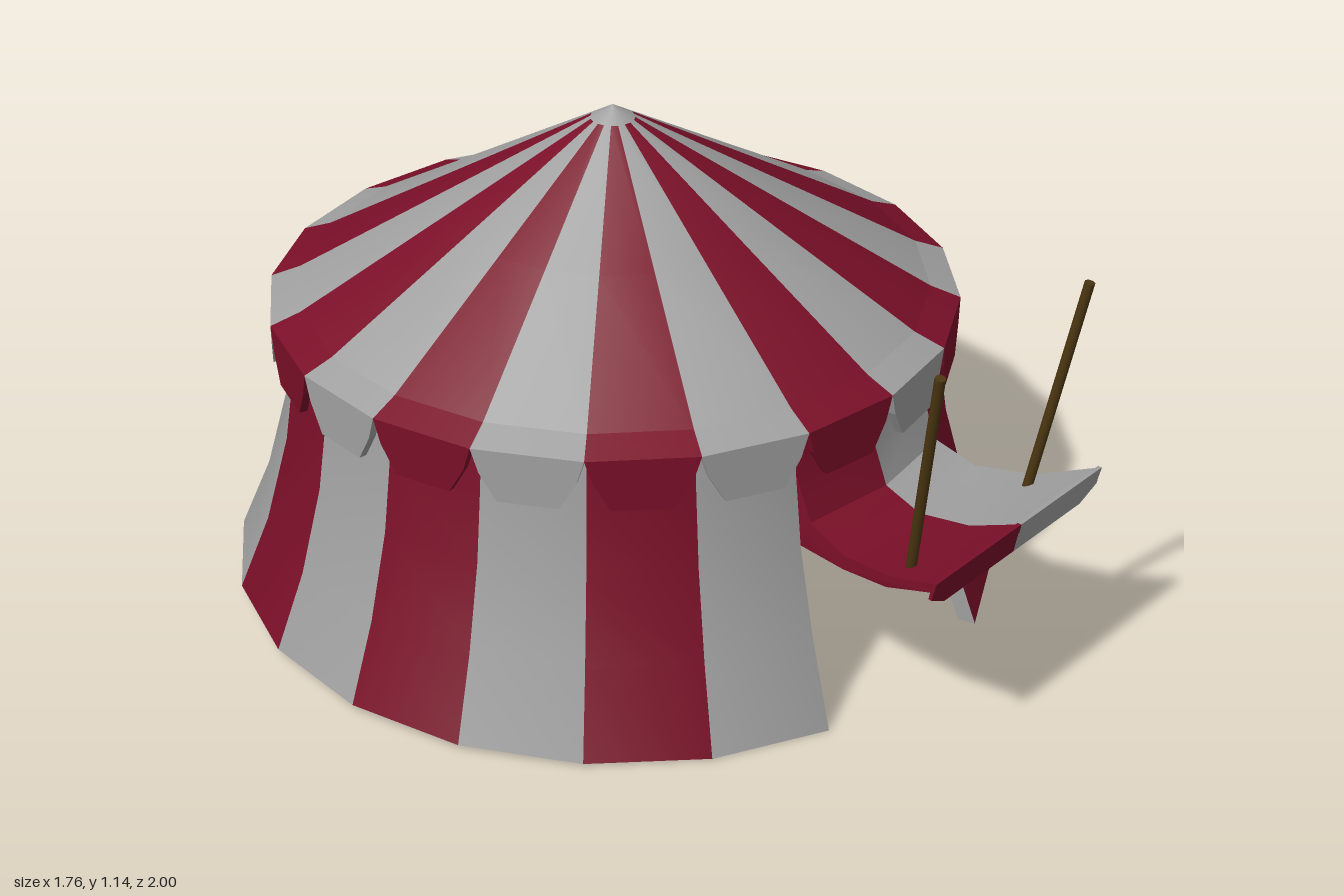
import * as THREE from 'three';
import { toCreasedNormals } from 'three/addons/utils/BufferGeometryUtils.js';

const SIDES = 20, STEP = (Math.PI * 2) / SIDES;

export function createModel() {
  const mat = (name, color) => {
    const m = new THREE.MeshStandardMaterial({ color, side: THREE.DoubleSide });
    m.name = name;
    return m;
  };
  const red = mat('crimson canvas', 0x7a0f28);
  const white = mat('pale canvas', 0xa0a0a0);
  const wood = mat('dark wood', 0x4a3510);
  const stripes = [white, red];

  const model = new THREE.Group();
  const tent = new THREE.Group();
  tent.name = 'tent';
  tent.position.z = -0.12;
  model.add(tent);

  const add = (parent, name, geometry, material) => {
    const mesh = new THREE.Mesh(geometry, material);
    mesh.name = name;
    parent.add(mesh);
    return mesh;
  };

  // lathe of flat-sided segments, one material group per segment
  const ring = (points, first = 0, count = SIDES) => {
    const g = new THREE.LatheGeometry(points.map(p => new THREE.Vector2(...p)), count, first * STEP, count * STEP);
    const n = 6 * (points.length - 1);
    for (let i = 0; i < count; i++) g.addGroup(i * n, n, (i + first) % 2);
    return g;
  };

  // the hem rises slightly toward the back
  const slopeHem = g => {
    const p = g.attributes.position;
    for (let i = 0; i < p.count; i++) {
      if (p.getY(i) < 0.01) p.setY(i, Math.max(0, 0.0173 * (1 - p.getZ(i) / 0.837)));
    }
    return g;
  };

  // flared wall, open over the two front segments
  const outer = [[0.88, 0], [0.81, 0.2], [0.757, 0.4], [0.733, 0.57], [0.72, 0.69]];
  const inner = outer.map(([r, y]) => [r - 0.04, y]).reverse();
  add(tent, 'wall', slopeHem(ring(outer, 1, SIDES - 2)), stripes);
  add(tent, 'wallLining', slopeHem(ring(inner, 1, SIDES - 2)), [white, white]);
  add(tent, 'wallHem', slopeHem(ring([[0.84, 0], [0.88, 0]], 1, SIDES - 2)), [white, white]);
  for (const s of [-1, 1]) {
    const shape = new THREE.Shape([...outer, ...inner].map(p => new THREE.Vector2(...p)));
    const jamb = new THREE.ShapeGeometry(shape);
    jamb.rotateY(s * STEP - Math.PI / 2);
    add(tent, s > 0 ? 'leftDoorEdge' : 'rightDoorEdge', slopeHem(jamb), white);
  }

  // striped roof with a flatter lip, a plain tip and a lining
  add(tent, 'roof', ring([[0.71, 0.717], [0.38, 0.913], [0.05, 1.11]]), stripes);
  add(tent, 'roofLip', ring([[0.778, 0.69], [0.71, 0.717]]), stripes);
  add(tent, 'roofTip', ring([[0.05, 1.11], [0, 1.14]]), [white, white]);
  add(tent, 'roofLining', ring([[0, 1.1], [0.68, 0.69], [0.778, 0.688]]), [white, white]);

  // one hanging scallop per segment
  const half = 0.778 * Math.sin(STEP / 2), apothem = 0.778 * Math.cos(STEP / 2);
  const scallop = new THREE.Shape([
    [-half * 0.55, 0.57], [half * 0.55, 0.57], [half * 0.86, 0.635],
    [half, 0.69], [-half, 0.69], [-half * 0.86, 0.635],
  ].map(p => new THREE.Vector2(...p)));
  const scallopGeo = new THREE.ExtrudeGeometry(scallop, { depth: 0.018, bevelEnabled: false });
  scallopGeo.translate(0, 0, apothem - 0.018);
  for (let i = 0; i < SIDES; i++) {
    add(tent, 'valanceScallop', scallopGeo, stripes[i % 2]).rotation.y = (i + 0.5) * STEP;
  }

  // door flap lifted outward as an awning; profile is [z, y]
  const flap = new THREE.Shape([
    [0.6, 0.69], [0.61, 0.57], [0.65, 0.465], [0.74, 0.43], [0.87, 0.45], [1, 0.505],
    [0.995, 0.482], [0.86, 0.418], [0.74, 0.396], [0.62, 0.398], [0.585, 0.46], [0.57, 0.57], [0.56, 0.69],
  ].map(p => new THREE.Vector2(...p)));
  for (const s of [-1, 1]) {
    const g = new THREE.ExtrudeGeometry(flap, { depth: 1, bevelEnabled: false });
    g.rotateY(-Math.PI / 2);
    if (s > 0) g.translate(1, 0, 0);
    const p = g.attributes.position;
    for (let i = 0; i < p.count; i++) {
      const x = p.getX(i), z = p.getZ(i);
      const t = Math.max(0, (z - 0.6) / 0.4);
      p.setX(i, x * (0.224 + 0.08 * t ** 1.5));
      p.setZ(i, z - 0.035 * Math.abs(x) * (1 - t));
    }
    const name = s > 0 ? 'left' : 'right', color = s > 0 ? white : red;
    add(model, name + 'Awning', toCreasedNormals(g, 0.6), color);

    // short lip hanging from the awning's front edge
    const lip = new THREE.Shape([[0, 0.505], [0.304, 0.505], [0.304, 0.462], [0.25, 0.432], [0, 0.432]]
      .map(([x, y]) => new THREE.Vector2(s * x, y - 0.505)));
    const lipMesh = add(model, name + 'AwningLip',
      new THREE.ExtrudeGeometry(lip, { depth: 0.008, bevelEnabled: false }), color);
    lipMesh.position.set(0, 0.505, 0.99);
    lipMesh.rotation.x = 0.2;

    // leaning pole
    const a = new THREE.Vector3(s * 0.212, 0.44, 0.87), b = new THREE.Vector3(s * 0.267, 0.955, 0.96);
    const dir = b.clone().sub(a);
    const pole = add(model, name + 'Pole', new THREE.CylinderGeometry(0.012, 0.012, dir.length(), 8), wood);
    pole.position.copy(a).lerp(b, 0.5);
    pole.quaternion.setFromUnitVectors(new THREE.Vector3(0, 1, 0), dir.normalize());
  }
  return model;
}
